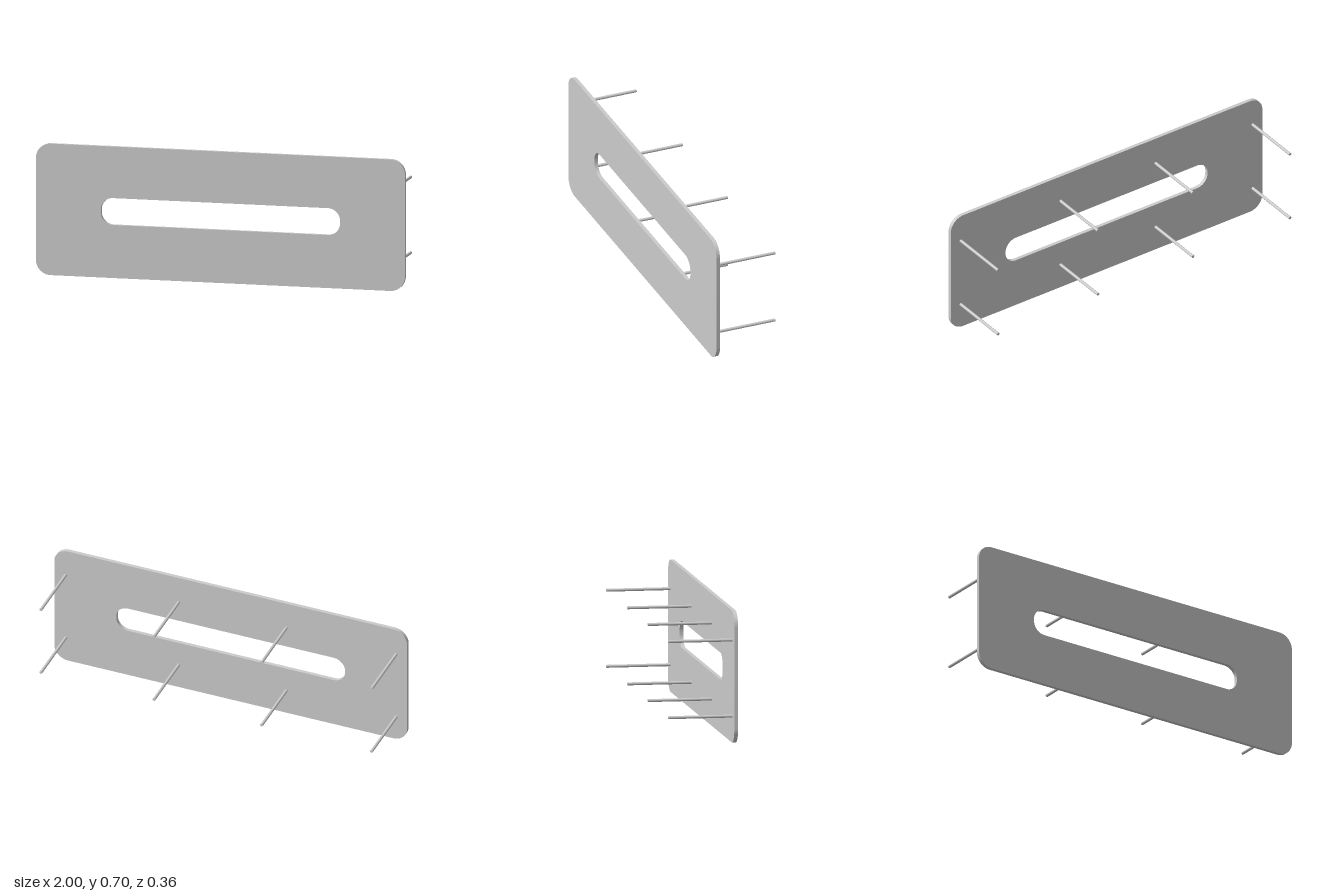
import * as THREE from 'three';
import { toCreasedNormals } from 'three/addons/utils/BufferGeometryUtils.js';

// Trace a rounded rectangle centred on (0, cy)
function roundedRect(path, w, h, r, cy) {
  const x = w / 2, y0 = cy - h / 2, y1 = cy + h / 2;
  path.moveTo(-x + r, y0);
  path.lineTo(x - r, y0);
  path.absarc(x - r, y0 + r, r, -Math.PI / 2, 0);
  path.lineTo(x, y1 - r);
  path.absarc(x - r, y1 - r, r, 0, Math.PI / 2);
  path.lineTo(-x + r, y1);
  path.absarc(-x + r, y1 - r, r, Math.PI / 2, Math.PI);
  path.lineTo(-x, y0 + r);
  path.absarc(-x + r, y0 + r, r, Math.PI, Math.PI * 1.5);
  return path;
}

export function createModel() {
  const group = new THREE.Group();
  const material = new THREE.MeshStandardMaterial({ color: 0xcccccc });

  // Flat face plate with a long slot
  const front = 0.18, thickness = 0.02, back = -0.18;
  const shape = roundedRect(new THREE.Shape(), 2, 0.7, 0.08, 0.35);
  shape.holes.push(roundedRect(new THREE.Path(), 1.296, 0.143, 0.066, 0.354));
  const plateGeometry = new THREE.ExtrudeGeometry(shape, {
    depth: thickness, bevelEnabled: false, curveSegments: 16,
  });
  const plate = new THREE.Mesh(toCreasedNormals(plateGeometry, 0.6), material);
  plate.name = 'facePlate';
  plate.position.z = front - thickness;
  group.add(plate);

  // Two rows of mounting pins on the back
  const length = front - thickness - back;
  const pinGeometry = new THREE.CylinderGeometry(0.008, 0.008, length, 24).rotateX(Math.PI / 2);
  const pins = new THREE.Group();
  pins.name = 'mountingPins';
  for (const y of [0.142, 0.545]) {
    for (const x of [-0.938, -0.315, 0.295, 0.936]) {
      const pin = new THREE.Mesh(pinGeometry, material);
      pin.name = 'mountingPin';
      pin.position.set(x, y, back + length / 2);
      pins.add(pin);
    }
  }
  group.add(pins);
  return group;
}
